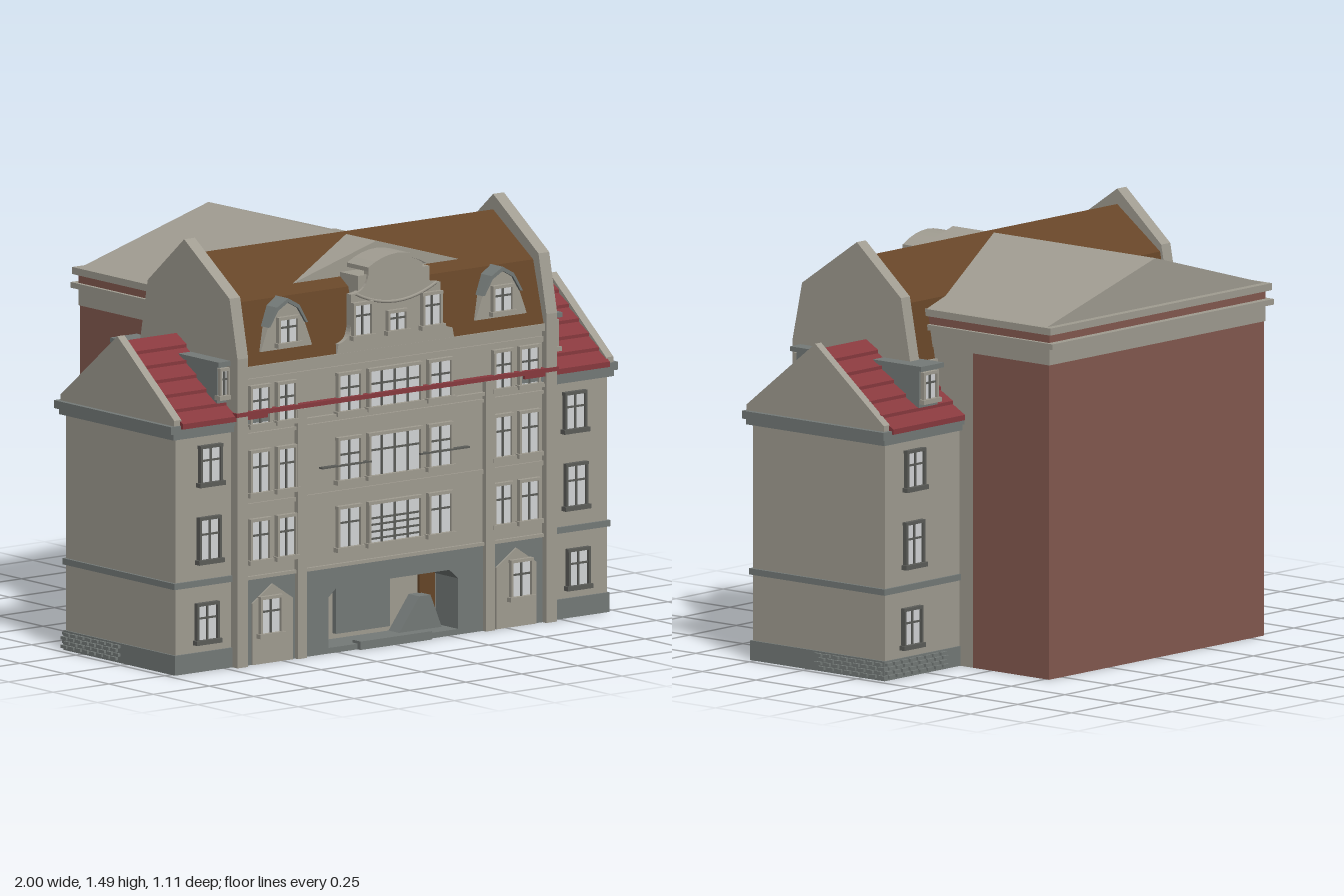
import * as THREE from 'three';

const mat = (name, color) => {
  const m = new THREE.MeshStandardMaterial({ color });
  m.name = name;
  return m;
};

export function createModel() {
  const model = new THREE.Group();
  model.name = 'townHouse';
  const wall = mat('stone wall', 0xa09c91);
  const slate = mat('slate grey', 0x747a78);
  const brick = mat('brick', 0x84594f);
  const brown = mat('brown tiles', 0x664528);
  const red = mat('red tiles', 0x88393e);
  const glass = mat('pale glass', 0xd2d4d6);
  const frame = mat('dark frame', 0x5c5d59);

  const add = (name, geo, m, parent = model) => {
    const mesh = new THREE.Mesh(geo, m);
    mesh.name = name;
    parent.add(mesh);
    return mesh;
  };
  // box given by its limits
  const box = (name, m, x0, x1, y0, y1, z0, z1, parent = model) => {
    const g = new THREE.BoxGeometry(Math.abs(x1 - x0), y1 - y0, z1 - z0);
    g.translate((x0 + x1) / 2, (y0 + y1) / 2, (z0 + z1) / 2);
    return add(name, g, m, parent);
  };
  const shapeOf = pts => new THREE.Shape(pts.map(p => new THREE.Vector2(p[0], p[1])));
  const extrude = (shape, depth) => new THREE.ExtrudeGeometry(shape, { depth, bevelEnabled: false, curveSegments: 8 });
  // outline in (z, y) drawn out along x
  const alongX = (name, m, pts, x0, x1, parent = model) => {
    const a = Math.min(x0, x1), b = Math.max(x0, x1);
    return add(name, extrude(shapeOf(pts), b - a).rotateY(-Math.PI / 2).translate(b, 0, 0), m, parent);
  };
  // outline in (x, y) drawn out along z
  const alongZ = (name, m, shape, z0, z1, parent = model) =>
    add(name, extrude(shape, z1 - z0).translate(0, 0, z0), m, parent);

  // window with glass, surround and glazing bars
  const pane = (x, y0, y1, w, z, dir = 1, cols = 2, rim = wall) => {
    const g = new THREE.Group();
    g.name = 'window';
    const h = y1 - y0, t = 0.009;
    box('glass', glass, -w / 2, w / 2, 0, h, -0.004, 0.004, g);
    for (const s of [-1, 1]) box('jamb', rim, s * w / 2 - t / 2, s * w / 2 + t / 2, 0, h, -0.01, 0.014, g);
    box('sill', rim, -w / 2 - 0.012, w / 2 + 0.012, -0.012, 0.004, -0.01, 0.02, g);
    box('head', rim, -w / 2 - 0.005, w / 2 + 0.005, h - 0.005, h + 0.006, -0.01, 0.014, g);
    for (let i = 1; i < cols; i++) {
      const bx = -w / 2 + i * w / cols;
      box('mullion', frame, bx - 0.004, bx + 0.004, 0, h, 0, 0.008, g);
    }
    box('transom', frame, -w / 2, w / 2, h * 0.6, h * 0.6 + 0.007, 0, 0.008, g);
    g.position.set(x, y0, z);
    if (dir < 0) g.rotation.y = Math.PI;
    model.add(g);
  };

  // main body
  const F = 0.525;
  box('mainBody', wall, -0.67, 0.67, 0.31, 1.08, 0, F);
  box('groundFloorCore', wall, -0.67, 0.67, 0, 0.31, 0, 0.4);
  const front = shapeOf([[-0.67, 0], [0.67, 0], [0.67, 0.31], [-0.67, 0.31]]);
  front.holes.push(shapeOf([[-0.29, 0.02], [-0.29, 0.2], [-0.25, 0.235], [0.25, 0.235], [0.29, 0.2], [0.29, 0.02]]));
  alongZ('groundFloorFront', slate, front, 0.4, F + 0.003);

  // entrance recess
  box('entranceStep', slate, -0.16, 0.16, 0, 0.03, 0.5, 0.545);
  box('entranceDoorLeft', brown, -0.28, -0.2, 0.03, 0.22, 0.4, 0.41);
  box('entranceDoorRight', brown, 0.21, 0.28, 0.08, 0.22, 0.4, 0.41);
  box('entrancePanel', slate, -0.17, 0.07, 0.04, 0.21, 0.4, 0.42);
  alongZ('entranceStair', slate, shapeOf([[0.08, 0.02], [0.27, 0.02], [0.22, 0.14], [0.17, 0.14]]), 0.4, 0.46);

  // string courses, eave strip and cornice
  for (const [y, h, d] of [[0.305, 0.012, 0.012], [0.56, 0.016, 0.008], [0.815, 0.012, 0.01], [0.84, 0.012, 0.016], [1.0, 0.02, 0.008], [1.04, 0.025, 0.016]])
    box('stringCourse', wall, -0.67, 0.67, y, y + h, F - 0.02, F + d);
  box('redEave', red, -0.72, 0.72, 0.893, 0.908, F - 0.01, 0.553);

  // main facade windows and pilasters
  for (const [y0, y1] of [[0.37, 0.515], [0.61, 0.76], [0.855, 0.99]]) {
    for (const s of [-1, 1]) {
      pane(s * 0.602, y0, y1, 0.085, F + 0.004);
      pane(s * 0.484, y0, y1, 0.08, F + 0.004);
      pane(s * 0.203, y0, y1, 0.1, F + 0.004);
    }
    pane(0, y0, y1, 0.23, F + 0.004, 1, 4);
  }
  for (const y of [0.385, 0.41, 0.435]) box('balconyBar', frame, -0.115, 0.115, y, y + 0.006, F, F + 0.015);
  for (const s of [-1, 1]) {
    box('balconyRail', frame, s * 0.11, s * 0.33, 0.663, 0.669, F, F + 0.02);
    box('innerPilaster', wall, s * 0.4, s * 0.44, 0, 0.89, F - 0.02, 0.545);
    // pointed ground floor window surround
    alongZ('windowSurround', wall, shapeOf([[-0.09, 0], [0.09, 0], [0.09, 0.22], [0, 0.28], [-0.09, 0.22]]
      .map(p => [p[0] + s * 0.545, p[1]])), F, F + 0.01);
    pane(s * 0.56, 0.105, 0.235, 0.09, F + 0.012);
  }

  // gambrel roof and its raised end walls
  alongX('mainRoof', brown, [[0.535, 1.06], [0.475, 1.285], [0.25, 1.43], [0.05, 1.285], [0.01, 1.06]], -0.67, 0.67);
  for (const s of [-1, 1])
    alongX('endWall', wall, [[0.55, 0], [0.55, 1.1], [0.505, 1.31], [0.25, 1.485], [0.045, 1.31], [0, 1.08], [0, 0]], s * 0.667, s * 0.715);

  // curved central gable
  const gable = new THREE.Shape();
  gable.moveTo(-0.265, 1.05);
  gable.lineTo(0.265, 1.05);
  gable.lineTo(0.255, 1.1);
  gable.quadraticCurveTo(0.2, 1.11, 0.2, 1.16);
  gable.lineTo(0.2, 1.27);
  gable.quadraticCurveTo(0.12, 1.27, 0.12, 1.35);
  gable.quadraticCurveTo(0, 1.42, -0.12, 1.35);
  gable.quadraticCurveTo(-0.12, 1.27, -0.2, 1.27);
  gable.lineTo(-0.2, 1.16);
  gable.quadraticCurveTo(-0.2, 1.11, -0.255, 1.1);
  alongZ('centralGable', wall, gable, 0.515, 0.54);
  box('centralDormer', wall, -0.16, 0.16, 1.06, 1.33, 0.4, 0.53);
  const cap = new THREE.Shape();
  cap.moveTo(-0.13, 1.345);
  cap.quadraticCurveTo(0, 1.42, 0.13, 1.345);
  cap.lineTo(0.13, 1.36);
  cap.quadraticCurveTo(0, 1.435, -0.13, 1.36);
  alongZ('gableCap', wall, cap, 0.43, 0.55);
  const swag = new THREE.QuadraticBezierCurve3(new THREE.Vector3(-0.18, 1.27, 0.541), new THREE.Vector3(0, 1.18, 0.541), new THREE.Vector3(0.18, 1.27, 0.541));
  add('gableMoulding', new THREE.TubeGeometry(swag, 12, 0.006, 6), wall);
  for (const x of [-0.155, 0, 0.155]) pane(x, 1.12, x ? 1.235 : 1.19, 0.08, 0.543);

  // small dormers
  for (const s of [-1, 1]) {
    const at = pts => shapeOf(pts.map(p => [p[0] + s * 0.48, p[1]]));
    alongZ('smallDormer', wall, at([[-0.115, 1.11], [0.115, 1.11], [0.08, 1.2], [0.045, 1.255], [0, 1.28], [-0.045, 1.255], [-0.08, 1.2]]), 0.4, 0.53);
    alongZ('dormerHood', slate, at([[0.09, 1.195], [0.05, 1.262], [0, 1.29], [-0.05, 1.262], [-0.09, 1.195], [-0.08, 1.195], [-0.045, 1.25], [0, 1.275], [0.045, 1.25], [0.08, 1.195]]), 0.42, 0.54);
    pane(s * 0.48, 1.13, 1.22, 0.085, 0.533);
  }

  // rear block with cornices and low gable roof
  box('rearBlock', brick, -0.57, 0.57, 0, 1.24, -0.518, -0.165);
  box('rearLink', wall, -0.57, 0.57, 0, 1.24, -0.165, 0.05);
  box('rearBand', wall, -0.574, 0.574, 1.12, 1.19, -0.523, 0.04);
  box('lowerCornice', wall, -0.588, 0.588, 1.18, 1.2, -0.55, 0.04);
  box('corniceFrieze', brick, -0.574, 0.574, 1.2, 1.23, -0.523, 0.04);
  box('upperCornice', wall, -0.588, 0.588, 1.23, 1.255, -0.54, 0.05);
  alongZ('rearRoof', wall, shapeOf([[-0.585, 1.252], [0.585, 1.252], [0, 1.422]]), -0.513, 0.43);

  // side wings
  for (const s of [-1, 1]) {
    box('wingWall', wall, s * 0.56, s * 0.965, 0, 0.86, -0.1, 0.515);
    box('wingPlinth', slate, s * 0.56, s * 0.972, 0, 0.07, -0.105, 0.522);
    box('wingCourse', slate, s * 0.56, s * 0.975, 0.305, 0.327, -0.108, 0.523);
    box('wingEave', slate, s * 0.56, s * 0.985, 0.84, 0.865, -0.115, 0.53);
    box('wingCornice', slate, s * 0.56, s * 1.0, 0.862, 0.89, -0.125, 0.535);
    // stepped tile courses
    const half = [];
    const n = 6;
    for (let i = 0; i < n; i++) {
      const a = i / n, b = (i + 1) / n;
      half.push([0.338 * (1 - a), 0.885 + 0.26 * a + 0.012], [0.338 * (1 - b), 0.885 + 0.26 * b]);
    }
    const back = half.slice(0, -1).reverse().map(p => [-p[0], p[1]]);
    const roof = [[0.338, 0.878], ...half, ...back, [-0.338, 0.878]].map(p => [p[0] + 0.207, p[1]]);
    alongX('wingRoof', red, roof, s * 0.575, s * 0.955);
    alongX('wingGable', wall, [[0.53, 0.885], [0.53, 0.91], [0.21, 1.165], [-0.11, 0.91], [-0.11, 0.885]], s * 0.95, s * 0.982);
    // dormers on both slopes
    for (const d of [-1, 1]) {
      const z = v => 0.207 + d * v;
      const prof = [[z(0.09), 0.99], [z(0.285), 0.94], [z(0.285), 1.075], [z(0.09), 1.075]];
      alongX('wingDormer', slate, d > 0 ? prof : prof.reverse(), s * 0.66, s * 0.76);
      const a = z(0.08), b = z(0.305);
      box('wingDormerRoof', slate, s * 0.65, s * 0.77, 1.073, 1.09, Math.min(a, b), Math.max(a, b));
      pane(s * (d > 0 ? 0.735 : 0.71), 0.965, 1.06, d > 0 ? 0.035 : 0.07, z(0.287), d);
    }
    // wing windows, front and back
    for (const [y0, y1, x] of [[0.11, 0.24, 0.83], [0.395, 0.545, 0.82], [0.67, 0.8, 0.815]]) {
      pane(s * x, y0, y1, 0.09, 0.519, 1, 2, frame);
      pane(s * x, y0, y1, 0.09, -0.104, -1, 2, frame);
    }
    // rough plinth stones
    for (let r = 0; r < 4; r++) {
      for (let i = 0; i < 8; i++) {
        const z0 = -0.11 + i * 0.04 + (r % 2) * 0.015, y = 0.008 + r * 0.015;
        box('plinthStone', slate, s * 0.96, s * 0.982, y, y + 0.011, z0, z0 + 0.03);
        const x = 0.64 + i * 0.041 + (r % 2) * 0.012;
        box('plinthStone', slate, s * x, s * (x + 0.031), y, y + 0.011, -0.116, -0.1);
      }
    }
  }
  return model;
}
